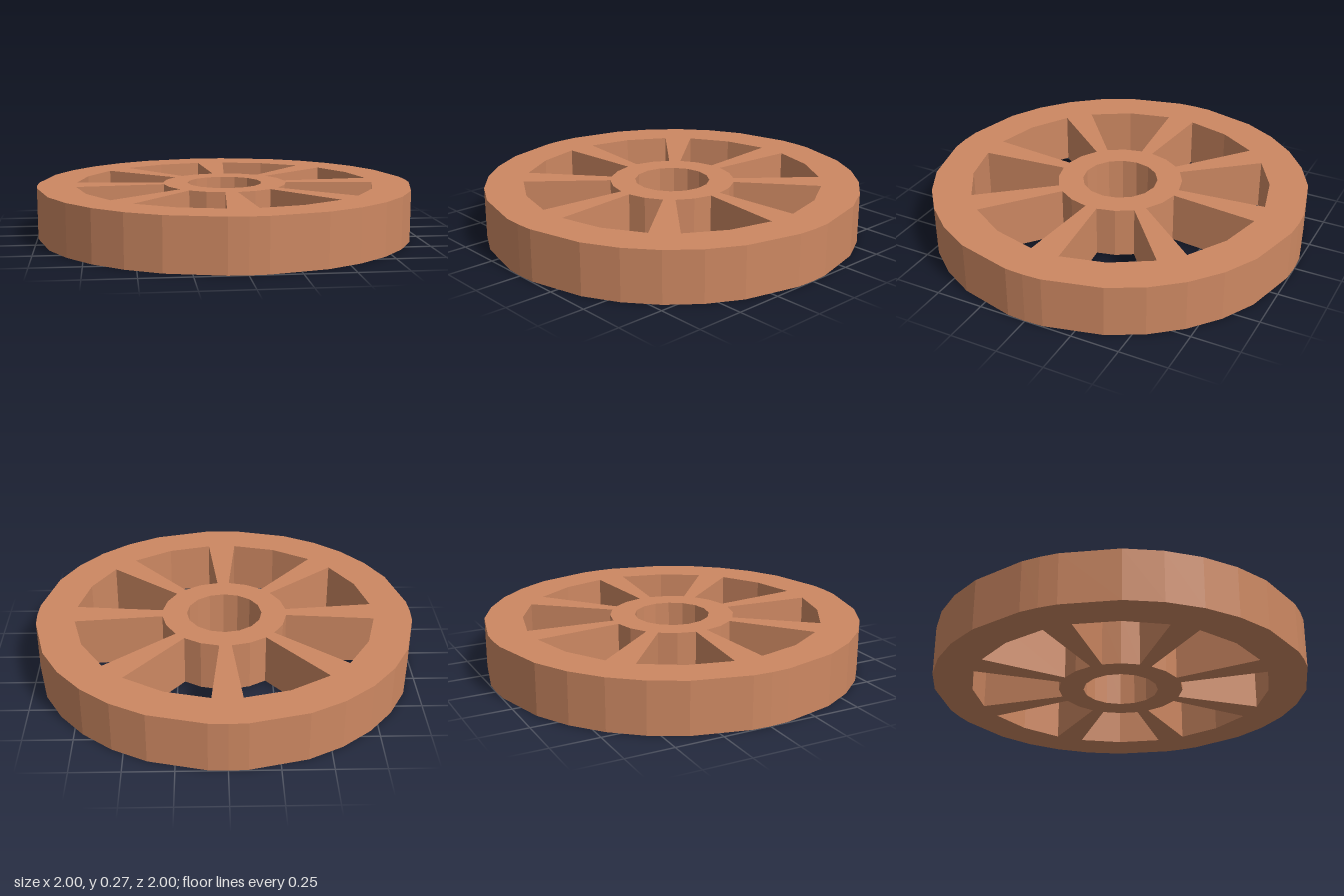
import * as THREE from 'three';

const HEIGHT = 0.27;
const RIM_OUTER = 1;
const RIM_INNER = 0.797;
const HUB_OUTER = 0.332;
const BORE = 0.2;
const SPOKES = 8;

// Point on a circle, angle in degrees
const polar = (radius, degrees) => {
  const a = THREE.MathUtils.degToRad(degrees);
  return new THREE.Vector2(radius * Math.cos(a), radius * Math.sin(a));
};
const ring = (radius, angles) => angles.map((a) => polar(radius, a));

export function createModel() {
  const group = new THREE.Group();
  group.name = 'wheel';

  // Rim outline: unevenly spaced facets, mirrored within each quarter
  const outline = [];
  for (let q = 0; q < 4; q++) {
    for (const a of [0, 5.5, 22.6, 33.9, 45, 56.1, 67.4, 84.5]) outline.push(polar(RIM_OUTER, q * 90 + a));
  }
  const shape = new THREE.Shape(outline);

  // Round bore through the hub
  shape.holes.push(new THREE.Path(ring(BORE, Array.from({ length: 16 }, (_, i) => i * 22.5))));

  // Windows between the tapering spokes
  const step = 360 / SPOKES;
  for (let i = 0; i < SPOKES; i++) {
    const angles = [5.5, step / 2, step - 5.5].map((a) => a + i * step);
    shape.holes.push(new THREE.Path([
      ...ring(RIM_INNER, angles),
      ...ring(HUB_OUTER, [...angles].reverse()),
    ]));
  }

  // Lay the extruded wheel flat on the ground
  const geometry = new THREE.ExtrudeGeometry(shape, { depth: HEIGHT, bevelEnabled: false });
  geometry.rotateX(-Math.PI / 2);
  const material = new THREE.MeshStandardMaterial({ color: 0xcd8862, flatShading: true });
  const wheel = new THREE.Mesh(geometry, material);
  wheel.name = 'rimSpokesAndHub';
  group.add(wheel);
  return group;
}
